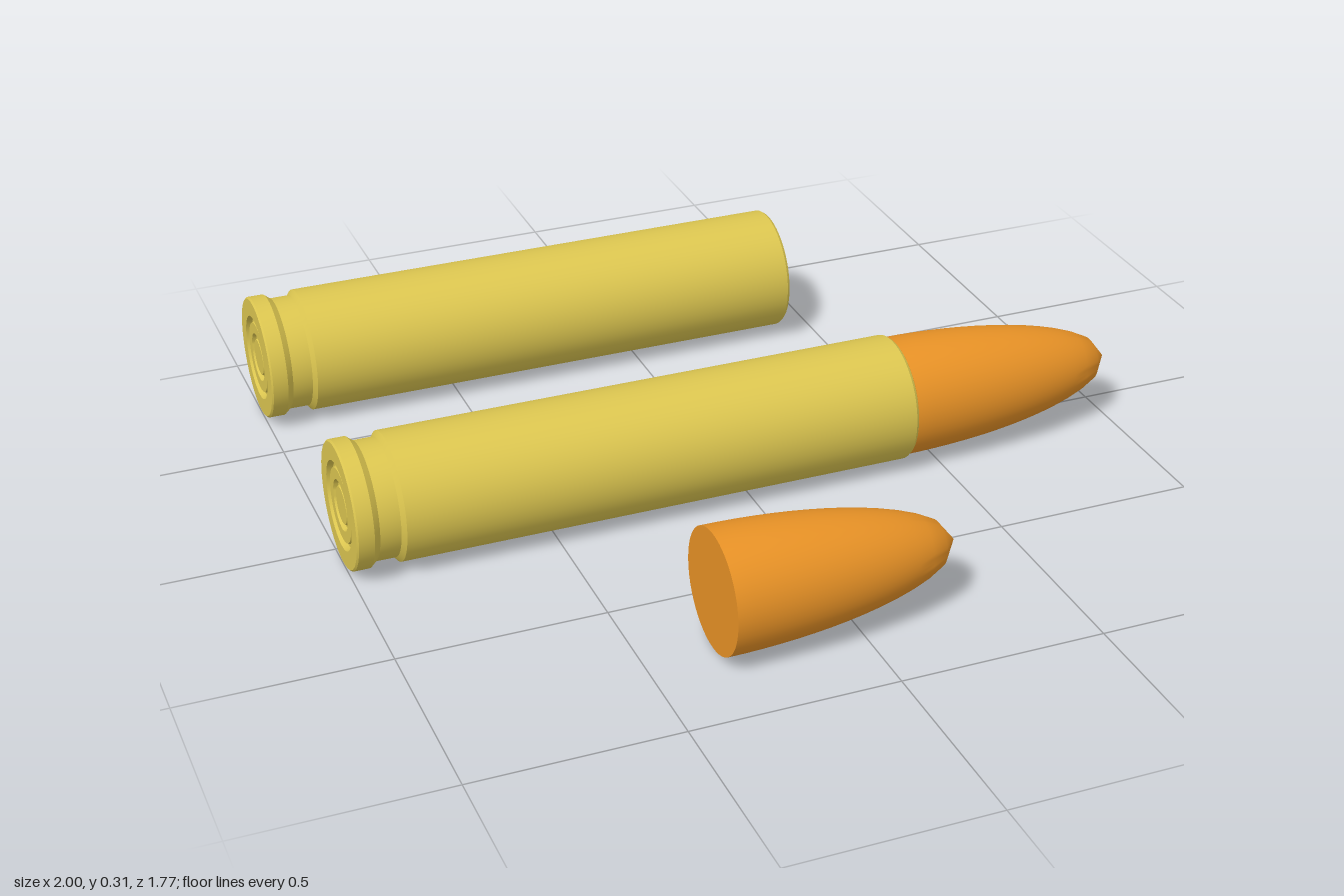
import * as THREE from 'three';
import { toCreasedNormals } from 'three/addons/utils/BufferGeometryUtils.js';

const R = 0.156;          // casing radius
const BULLET_R = 0.148;
const BULLET_LEN = 0.587;

// Turns a [radius, distance along axis] profile, with the axis laid along +x
function turned(profile) {
  const points = profile.map(([r, a]) => new THREE.Vector2(r, a));
  const geometry = new THREE.LatheGeometry(points, 48);
  geometry.rotateZ(-Math.PI / 2);
  return toCreasedNormals(geometry, 0.6);
}

export function createModel() {
  const model = new THREE.Group();
  const brass = new THREE.MeshStandardMaterial({ color: 0xdcc650 });
  const copper = new THREE.MeshStandardMaterial({ color: 0xe89226 });

  // Hollow casing: ringed base, rim, extractor groove, wall, mouth, inside
  const casing = turned([
    [0, 0.006], [0.045, 0.006], [0.05, 0.014], [0.058, 0.014], [0.062, 0.004],
    [0.09, 0.004], [0.094, 0.014], [0.104, 0.014], [0.108, 0],
    [R - 0.004, 0], [R, 0.004], [R, 0.042], [0.143, 0.058], [0.143, 0.108],
    [R, 0.118], [R, 1.404], [R - 0.005, 1.411], [0.138, 1.411],
    [0.138, 0.16], [0, 0.16],
  ]);

  // Bullet: flat base and a half-ellipse nose
  const nose = [[0, 0]];
  const steps = 14;
  for (let i = 0; i <= steps; i++) {
    const t = i / steps;
    nose.push([BULLET_R * Math.sqrt(1 - t * t), BULLET_LEN * t]);
  }
  const bullet = turned(nose);

  const add = (name, geometry, material, x, z) => {
    const mesh = new THREE.Mesh(geometry, material);
    mesh.name = name;
    mesh.position.set(x, R, z);
    model.add(mesh);
  };

  // Empty casing, complete round, loose bullet
  add('emptyCasing', casing, brass, -1, -0.73);
  add('roundCasing', casing, brass, -1, 0.068);
  add('roundBullet', bullet, copper, 1 - BULLET_LEN, 0.068);
  add('looseBullet', bullet, copper, -0.337, 0.735);
  return model;
}
